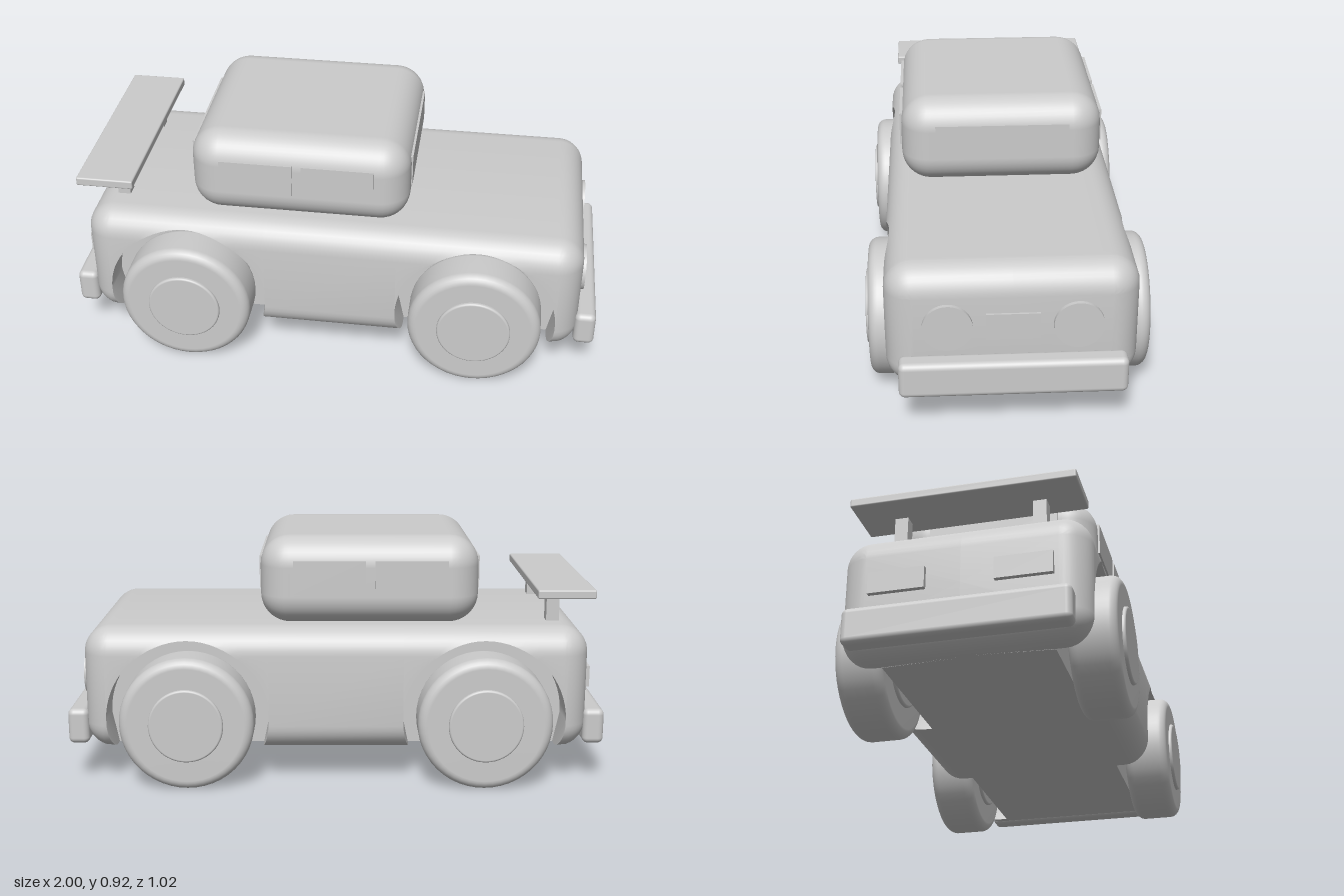
import * as THREE from 'three';
import { toCreasedNormals } from 'three/addons/utils/BufferGeometryUtils.js';
import { RoundedBoxGeometry } from 'three/addons/geometries/RoundedBoxGeometry.js';

const material = new THREE.MeshStandardMaterial({ color: 0xcccccc });
const WHEEL_X = 0.548, WHEEL_Y = 0.25, ARCH_R = 0.3, WELL_Z = 0.3;
const BODY = { length: 0.932, width: 0.435, bottom: 0.13, top: 0.595, r: 0.1 };

function add(parent, name, geometry, x = 0, y = 0, z = 0) {
  const mesh = new THREE.Mesh(geometry, material);
  mesh.name = name;
  mesh.position.set(x, y, z);
  parent.add(mesh);
  return mesh;
}

// Box given by its limits on each axis, rounded when r > 0
function block(parent, name, [x0, x1], [y0, y1], [z0, z1], r = 0) {
  const size = [x1 - x0, y1 - y0, z1 - z0];
  const geometry = r ? new RoundedBoxGeometry(...size, 5, r) : new THREE.BoxGeometry(...size);
  return add(parent, name, geometry, (x0 + x1) / 2, (y0 + y1) / 2, (z0 + z1) / 2);
}

// Disc with rounded rims, axis along z
function roundedDisc(radius, width, r) {
  const points = [new THREE.Vector2(0, -width / 2)];
  for (const s of [-1, 1]) {
    for (let i = 0; i <= 6; i++) {
      const a = (s < 0 ? i / 6 - 1 : i / 6) * Math.PI / 2;
      points.push(new THREE.Vector2(radius - r + r * Math.cos(a), s * (width / 2 - r) + r * Math.sin(a)));
    }
  }
  points.push(new THREE.Vector2(0, width / 2));
  return new THREE.LatheGeometry(points, 48).rotateX(Math.PI / 2);
}

// One cross-section of the body at x; archY is the underside height beyond the wheel well wall
function bodySection({ x, archY, centre }) {
  const { length, width, r } = BODY;
  const e = Math.max(0, Math.abs(x) - (length - r));
  const rr = Math.sqrt(Math.max(0, r * r - e * e));
  const inset = r - rr;
  const low = BODY.bottom + inset, high = BODY.top - inset, flat = width - r;
  const h = Math.max(low, archY);
  const sideZ = (y) => {
    const k = Math.max(0, low + rr - y, y - high + rr);
    return flat + Math.sqrt(Math.max(0, rr * rr - k * k));
  };
  const half = [[0, low], [WELL_Z, low], [WELL_Z, h]];
  for (const s of [-1, 1]) {
    for (let i = 0; i <= 8; i++) {
      const a = (s < 0 ? i / 8 - 1 : i / 8) * Math.PI / 2;
      const y = (s < 0 ? low + rr : high - rr) + rr * Math.sin(a);
      half.push(y < h ? [sideZ(h), h] : [flat + rr * Math.cos(a), y]);
    }
  }
  half.push([0, high]);
  const loop = [...half, ...half.slice(1, -1).reverse().map(([z, y]) => [-z, y])];
  return loop.map(([z, y]) => {
    let px = x;
    // the round arch closes in again below the axle
    if (centre !== undefined && y < WHEEL_Y && Math.abs(z) >= WELL_Z) {
      const m = Math.sqrt(ARCH_R ** 2 - (y - WHEEL_Y) ** 2);
      px = centre + THREE.MathUtils.clamp(x - centre, -m, m);
    }
    return new THREE.Vector3(px, y, z);
  });
}

// Rounded body lofted along x, with four wheel wells
function bodyGeometry() {
  const stations = [];
  const noArch = BODY.bottom;
  const ends = [];
  for (let i = 0; i <= 8; i++) ends.push(BODY.length - BODY.r + BODY.r * Math.cos(i / 10 * Math.PI / 2));
  ends.forEach((x) => stations.push({ x: -x, archY: noArch }));
  for (const centre of [-WHEEL_X, WHEEL_X]) {
    stations.push({ x: centre - ARCH_R, archY: noArch, centre });
    for (let i = 0; i <= 32; i++) {
      const a = i / 32 * Math.PI;
      stations.push({ x: centre - ARCH_R * Math.cos(a), archY: WHEEL_Y + ARCH_R * Math.sin(a), centre });
    }
    stations.push({ x: centre + ARCH_R, archY: noArch, centre });
  }
  ends.reverse().forEach((x) => stations.push({ x, archY: noArch }));

  const rings = stations.map(bodySection);
  const positions = [];
  const triangle = (...p) => {
    if (new THREE.Triangle(...p).getArea() > 1e-8) p.forEach((v) => positions.push(v.x, v.y, v.z));
  };
  const n = rings[0].length;
  for (let i = 0; i < rings.length - 1; i++) {
    for (let j = 0; j < n; j++) {
      const k = (j + 1) % n;
      const a = rings[i][j], b = rings[i][k], c = rings[i + 1][k], d = rings[i + 1][j];
      triangle(a, d, c);
      triangle(a, c, b);
    }
  }
  const middleY = (BODY.bottom + BODY.top) / 2;
  const first = rings[0], last = rings[rings.length - 1];
  const rear = new THREE.Vector3(-BODY.length, middleY, 0), front = new THREE.Vector3(BODY.length, middleY, 0);
  for (let j = 0; j < n; j++) {
    const k = (j + 1) % n;
    triangle(rear, first[j], first[k]);
    triangle(front, last[k], last[j]);
  }
  const geometry = new THREE.BufferGeometry();
  geometry.setAttribute('position', new THREE.Float32BufferAttribute(positions, 3));
  return toCreasedNormals(geometry, 0.6);
}

export function createModel() {
  const car = new THREE.Group();
  car.name = 'car';

  add(car, 'body', bodyGeometry());
  block(car, 'cabin', [-0.53, 0.28], [0.592, 0.92], [-0.372, 0.372], 0.11);

  // Windows
  block(car, 'windscreen', [0.2, 0.285], [0.715, 0.836], [-0.246, 0.246]);
  block(car, 'rearWindow', [-0.536, -0.45], [0.715, 0.836], [-0.246, 0.246]);
  for (const s of [-1, 1]) {
    const z = s > 0 ? [0.3, 0.379] : [-0.379, -0.3];
    block(car, 'rearSideWindow', [-0.41, -0.143], [0.715, 0.838], z);
    block(car, 'frontSideWindow', [-0.108, 0.156], [0.715, 0.838], z);
  }

  // Bumpers and front fittings
  block(car, 'frontBumper', [0.922, 1], [0.147, 0.28], [-0.39, 0.39], 0.022);
  block(car, 'rearBumper', [-1, -0.922], [0.147, 0.28], [-0.39, 0.39], 0.022);
  block(car, 'grille', [0.9, 0.94], [0.339, 0.436], [-0.092, 0.092]);

  for (const s of [-1, 1]) {
    const lamp = new THREE.CylinderGeometry(0.086, 0.086, 0.06, 40).rotateZ(Math.PI / 2);
    add(car, 'headlight', lamp, 0.917, 0.389, s * 0.222);
    block(car, 'tailLight', [-0.95, -0.9], [0.35, 0.43], [s * 0.22 - 0.1, s * 0.22 + 0.1]);
    block(car, 'spoilerPost', [-0.835, -0.787], [0.58, 0.71], [s * 0.25 - 0.024, s * 0.25 + 0.024]);
  }
  block(car, 'spoilerWing', [-0.948, -0.735], [0.702, 0.735], [-0.402, 0.402], 0.006);

  // Wheels
  for (const x of [-WHEEL_X, WHEEL_X]) {
    for (const s of [-1, 1]) {
      const wheel = new THREE.Group();
      wheel.name = 'wheel';
      wheel.position.set(x, WHEEL_Y, s * 0.41);
      add(wheel, 'tyre', roundedDisc(0.248, 0.172, 0.035));
      add(wheel, 'hub', roundedDisc(0.137, 0.196, 0.008));
      car.add(wheel);
    }
  }
  return car;
}
